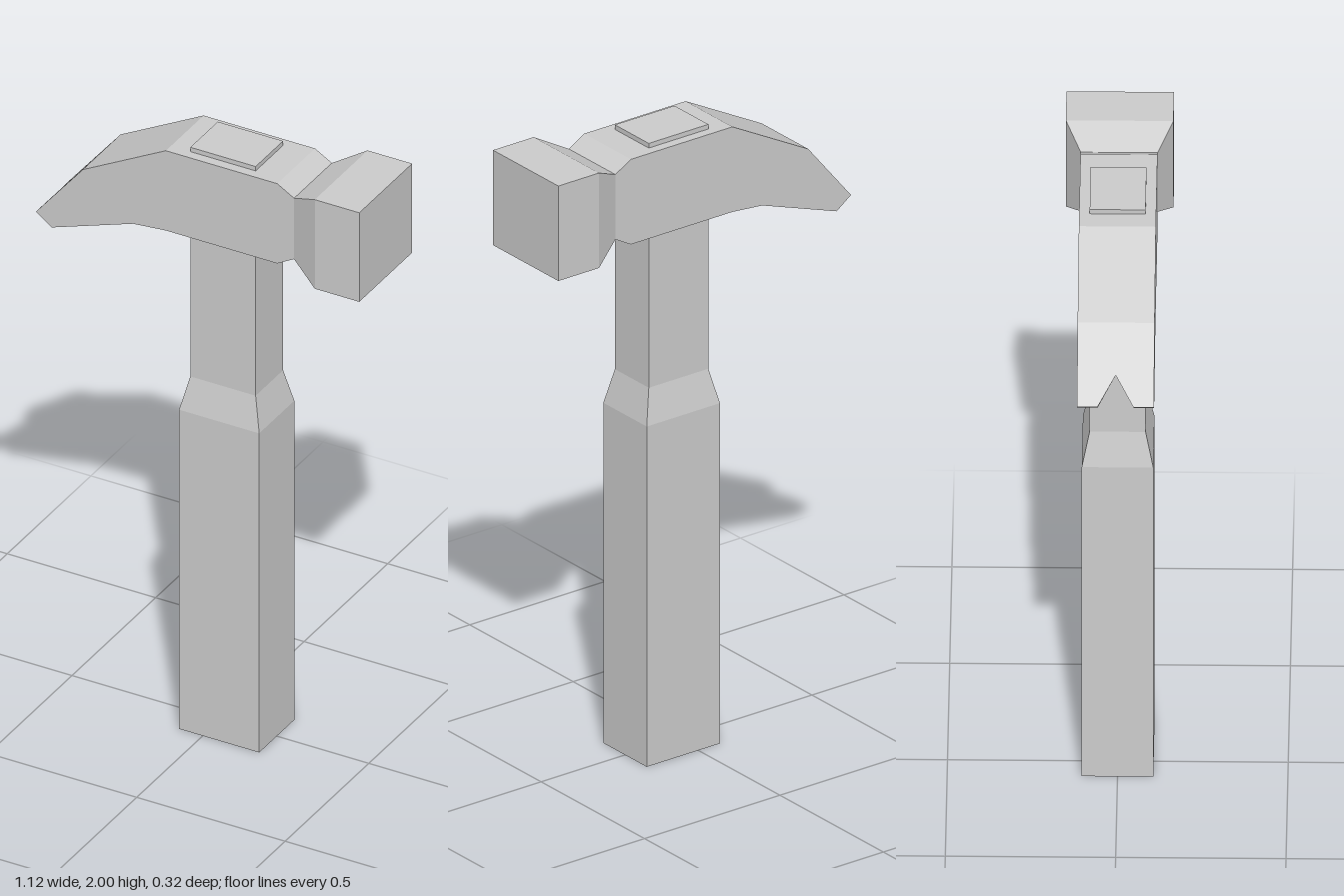
import * as THREE from 'three';

const material = new THREE.MeshStandardMaterial({ color: 0xcccccc, flatShading: true });

// Handle: a box in three storeys, each row of corners set to its own height and size
function makeHandle() {
  const rows = [[0, 0.135, 0.105], [1.1, 0.135, 0.105], [1.21, 0.11, 0.082], [2, 0.11, 0.082]]; // y, half x, half z
  const box = new THREE.BoxGeometry(2, 3, 2, 1, 3, 1);
  const p = box.attributes.position;
  for (let i = 0; i < p.count; i++) {
    const [y, hx, hz] = rows[Math.round(p.getY(i) + 1.5)];
    p.setXYZ(i, 0.055 + p.getX(i) * hx, y, p.getZ(i) * hz);
  }
  const geometry = box.toNonIndexed();
  geometry.computeVertexNormals();
  return geometry;
}

// Head: the half at +z is built face by face, and every face is mirrored to -z
function makeHead() {
  const positions = [];
  const face = (...pts) => {
    for (let i = 1; i < pts.length - 1; i++) {
      const tri = [pts[0], pts[i], pts[i + 1]];
      for (const [x, y, z] of tri) positions.push(x, y, z);
      for (const [x, y, z] of tri.reverse()) positions.push(x, y, -z);
    }
  };

  // Cross-sections from claw root to striking face: top x, top y, bottom x, bottom y, half z
  const sections = [
    [-0.40, 1.835, -0.23, 1.70, 0.113],
    [-0.12, 1.985, -0.12, 1.71, 0.113],
    [0.255, 1.985, 0.255, 1.71, 0.113],
    [0.312, 1.952, 0.312, 1.742, 0.113],
    [0.407, 2.0, 0.407, 1.693, 0.158],
    [0.557, 2.0, 0.557, 1.693, 0.158],
  ].map(([tx, ty, bx, by, h]) => ({
    topMid: [tx, ty, 0], top: [tx, ty, h], bottom: [bx, by, h], bottomMid: [bx, by, 0],
  }));
  for (let i = 0; i < sections.length - 1; i++) {
    const a = sections[i], b = sections[i + 1];
    face(a.top, b.top, b.topMid, a.topMid);
    face(a.bottom, b.bottom, b.top, a.top);
    face(a.bottomMid, b.bottomMid, b.bottom, a.bottom);
  }
  const end = sections[sections.length - 1];
  face(end.top, end.bottom, end.bottomMid, end.topMid);

  // Claw prong with a V notch that reaches deeper on the underside
  const root = sections[0];
  const tipTop = [-0.558, 1.642, 0.113], tipTopIn = [-0.558, 1.642, 0.053];
  const tipLow = [-0.505, 1.604, 0.113], tipLowIn = [-0.505, 1.604, 0.053];
  const notchTop = [-0.498, 1.715, 0], notchLow = [-0.30, 1.676, 0];
  face(tipTop, root.top, root.topMid, notchTop, tipTopIn);
  face(notchLow, root.bottomMid, root.bottom, tipLow, tipLowIn);
  face(tipLow, root.bottom, root.top, tipTop);
  face(tipLowIn, tipLow, tipTop, tipTopIn);
  face(tipLowIn, tipTopIn, notchTop, notchLow);

  const geometry = new THREE.BufferGeometry();
  geometry.setAttribute('position', new THREE.Float32BufferAttribute(positions, 3));
  geometry.computeVertexNormals();
  return geometry;
}

export function createModel() {
  const model = new THREE.Group();
  model.name = 'hammer';
  for (const [name, geometry] of [['handle', makeHandle()], ['clawHead', makeHead()]]) {
    const mesh = new THREE.Mesh(geometry, material);
    mesh.name = name;
    model.add(mesh);
  }
  return model;
}
